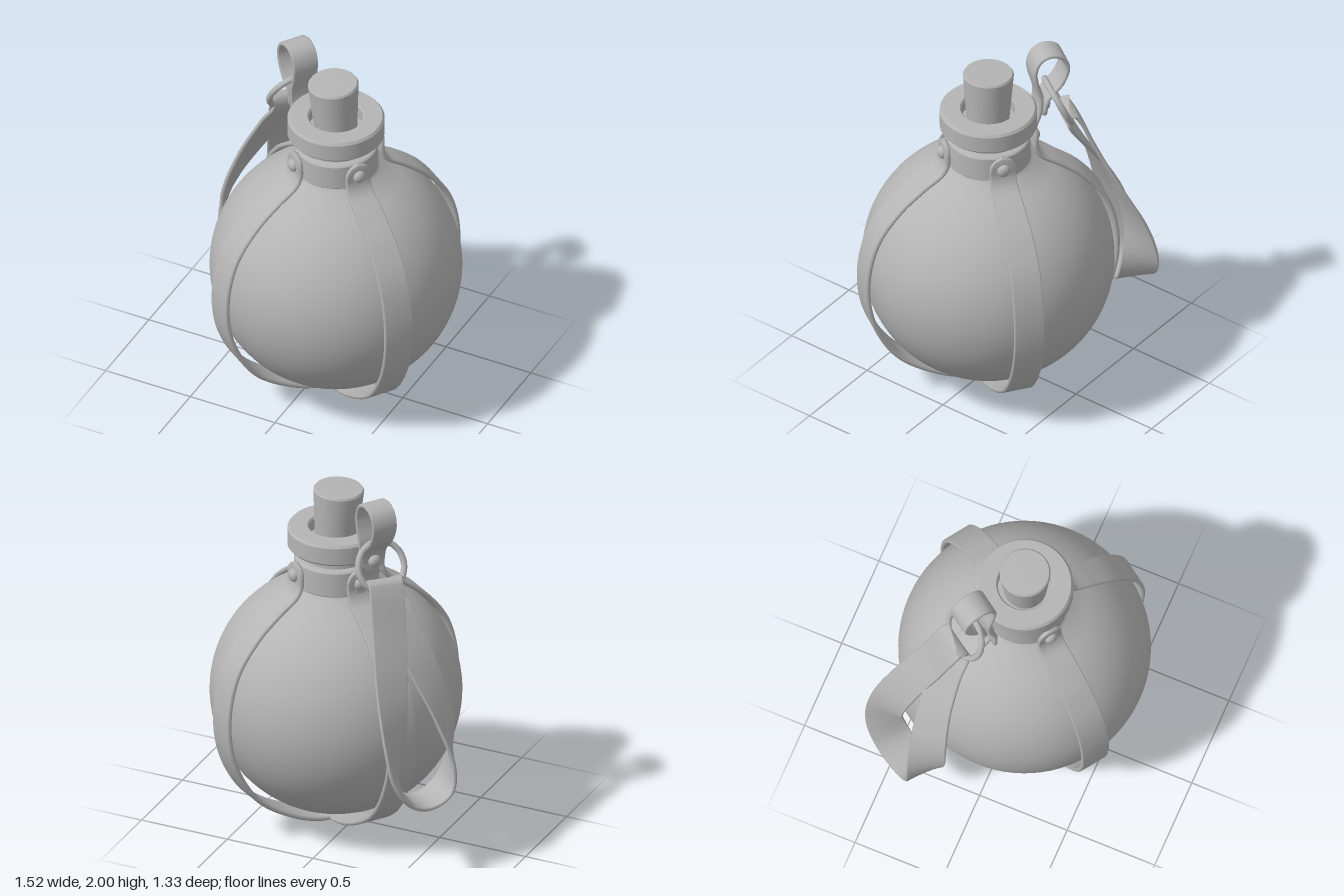
import * as THREE from 'three';

const grey = new THREE.MeshStandardMaterial({ color: 0xb4b4b4 });
grey.name = 'plain grey';
const V = (x, y, z = 0) => new THREE.Vector3(x, y, z);

function part(parent, name, geometry) {
  const mesh = new THREE.Mesh(geometry, grey);
  mesh.name = name;
  parent.add(mesh);
  return mesh;
}

// Smooth lathe whose sharp corners are repeated points
function lathe(points, segments = 64) {
  return new THREE.LatheGeometry(points.map(p => new THREE.Vector2(p[0], p[1])), segments);
}

// Leather band: rounded rectangle swept along a path, with a width direction for each path point
function ribbon(path, widthDirs, halfWidth, th, segs, closed = false) {
  const curve = new THREE.CatmullRomCurve3(path, closed);
  const dirs = widthDirs.length > 1 ? new THREE.CatmullRomCurve3(widthDirs, closed) : null;
  const length = curve.getLength();
  const pos = [], idx = [], n = 8;
  const rows = closed ? segs : segs + 1;
  for (let i = 0; i < rows; i++) {
    const t = curve.getUtoTmapping(i / segs);
    const c = curve.getPoint(t), tan = curve.getTangent(t);
    const w = (dirs ? dirs.getPoint(t) : widthDirs[0].clone());
    w.addScaledVector(tan, -w.dot(tan)).normalize();
    const nor = tan.clone().cross(w).normalize();
    const h = halfWidth(length * i / segs, length), k = Math.max(h - 0.6 * th, h * 0.4);
    const section = [[h, -0.4 * th], [h, 0.4 * th], [k, th], [-k, th],
      [-h, 0.4 * th], [-h, -0.4 * th], [-k, -th], [k, -th]];
    for (const [a, b] of section) {
      const p = c.clone().addScaledVector(w, a).addScaledVector(nor, b);
      pos.push(p.x, p.y, p.z);
    }
  }
  for (let i = 0; i < segs; i++) {
    const r0 = i * n, r1 = ((i + 1) % rows) * n;
    for (let j = 0; j < n; j++) {
      const k = (j + 1) % n;
      idx.push(r0 + j, r0 + k, r1 + j, r0 + k, r1 + k, r1 + j);
    }
  }
  if (!closed) {
    const e = segs * n;
    for (let j = 1; j < n - 1; j++) idx.push(0, j + 1, j, e, e + j, e + j + 1);
  }
  const g = new THREE.BufferGeometry();
  g.setAttribute('position', new THREE.Float32BufferAttribute(pos, 3));
  g.setIndex(idx);
  g.computeVertexNormals();
  return g;
}

// Half width that closes to a round tip of radius r at distance 0
const roundTip = (s, r) => s < r ? Math.max(0.008, Math.sqrt(r * r - (r - s) ** 2)) : r;

// Domed rivet whose head points along +x
function rivet(parent, x, y, z) {
  const g = new THREE.SphereGeometry(0.036, 20, 12);
  g.scale(0.7, 1, 1);
  const m = part(parent, 'rivet', g);
  m.position.set(x, y, z);
  return m;
}

export function createModel() {
  const model = new THREE.Group();
  model.name = 'strappedFlask';
  const flask = new THREE.Group();
  flask.name = 'flask';
  flask.position.x = 0.105;
  model.add(flask);

  // Round body, blending into the neck
  const body = [];
  for (let i = 0; i <= 40; i++) {
    const a = -Math.PI / 2 + i / 40 * 2.66;
    body.push([Math.max(0, 0.665 * Math.cos(a)), 0.75 + 0.662 * Math.sin(a)]);
  }
  body.push([0.235, 1.385], [0.205, 1.42], [0.185, 1.48], [0.18, 1.63]);
  part(flask, 'body', lathe(body, 80));

  // Collar band around the neck
  part(flask, 'collar', lathe([[0.18, 1.4], [0.215, 1.4], [0.224, 1.41], [0.224, 1.41],
    [0.22, 1.54], [0.22, 1.54], [0.212, 1.552], [0.18, 1.552]]));

  // Flat lip with a mouth for the cork
  part(flask, 'lip', lathe([[0.17, 1.605], [0.17, 1.605], [0.245, 1.605], [0.245, 1.605],
    [0.256, 1.617], [0.256, 1.617], [0.256, 1.71], [0.256, 1.71], [0.245, 1.724],
    [0.245, 1.724], [0.15, 1.724], [0.15, 1.724], [0.142, 1.715], [0.142, 1.715],
    [0.142, 1.65], [0.142, 1.65], [0, 1.65]]));

  // Tapered cork, leaning slightly
  const cork = part(flask, 'cork', lathe([[0, 0], [0.114, 0], [0.114, 0], [0.134, 0.27],
    [0.134, 0.27], [0.127, 0.281], [0.127, 0.281], [0, 0.284]], 48));
  cork.position.set(0, 1.66, 0.003);
  cork.rotation.set(0.02, 0, 0.045);

  // Four straps running from the collar to the underside
  const strapPath = [[0.243, 1.562], [0.244, 1.5], [0.246, 1.44], [0.275, 1.385], [0.38, 1.31],
    [0.51, 1.2], [0.635, 1.02], [0.69, 0.76], [0.655, 0.5], [0.52, 0.26], [0.32, 0.115],
    [0.14, 0.045], [0, 0.035]].map(p => V(...p));
  const strapWidth = s => s < 0.07 ? roundTip(s, 0.072)
    : THREE.MathUtils.lerp(0.072, 0.083, THREE.MathUtils.smoothstep(s, 0.07, 0.6));
  const strapGeometry = ribbon(strapPath, [V(0, 0, 1)], strapWidth, 0.013, 130);
  const angle = THREE.MathUtils.degToRad(145.5);
  for (let i = 0; i < 4; i++) {
    const side = new THREE.Group();
    side.name = 'strapSide';
    side.rotation.y = angle + i * Math.PI / 2;
    flask.add(side);
    part(side, 'strap', strapGeometry);
    rivet(side, 0.258, 1.49, 0);
  }
  rivet(flask, 0, 0.025, 0).rotation.z = -Math.PI / 2;

  // Hanger: local x points outward, z along the tangent
  const hanger = new THREE.Group();
  hanger.name = 'hanger';
  hanger.rotation.y = angle;
  flask.add(hanger);

  // Upright loop beside the neck, pinched by a rivet
  const loopPath = [[0.25, 1.42], [0.252, 1.54], [0.28, 1.63], [0.288, 1.73], [0.262, 1.83],
    [0.256, 1.9], [0.285, 1.965], [0.346, 1.988], [0.41, 1.96], [0.435, 1.89], [0.405, 1.8],
    [0.33, 1.71], [0.312, 1.65], [0.315, 1.58]].map(p => V(p[0], p[1], -0.044));
  part(hanger, 'topLoop', ribbon(loopPath, [V(0, 0, 1)],
    (s, L) => roundTip(L - s, 0.072), 0.011, 110));
  rivet(hanger, 0.33, 1.645, -0.044);

  // Metal ring joining the loop and the hanging strap
  const ring = part(hanger, 'ring', new THREE.TorusGeometry(0.135, 0.017, 12, 48));
  ring.position.set(0.4, 1.645, -0.044);
  ring.rotation.set(0, Math.PI / 2, 0);
  ring.rotation.order = 'ZYX';
  ring.rotation.z = 0.45;

  // Long hanging strap: folds over the ring and turns edge-on at the bottom
  const hang = [ // outward, up, sideways, then width direction outward and sideways
    [0.46, 1.595, -0.03, 0, 1],
    [0.5, 1.54, -0.02, 0, 1],
    [0.575, 1.36, 0.01, 0, 1],
    [0.69, 1.1, 0.06, 0.1, 1],
    [0.79, 0.82, 0.1, 0.45, 0.9],
    [0.81, 0.6, 0.1, 0.8, 0.5],
    [0.8, 0.46, 0.03, 1, 0.1],
    [0.79, 0.42, -0.08, 1, 0],
    [0.78, 0.47, -0.2, 1, 0],
    [0.78, 0.62, -0.25, 0.9, 0.35],
    [0.75, 0.85, -0.23, 0.6, 0.8],
    [0.65, 1.14, -0.15, 0.25, 1],
    [0.525, 1.38, -0.08, 0, 1],
    [0.435, 1.54, -0.04, 0, 1],
  ];
  part(hanger, 'hangingStrap', ribbon(hang.map(p => V(p[0], p[1], p[2])),
    hang.map(p => V(p[3], 0, p[4])), () => 0.1, 0.011, 160, true));

  return model;
}
